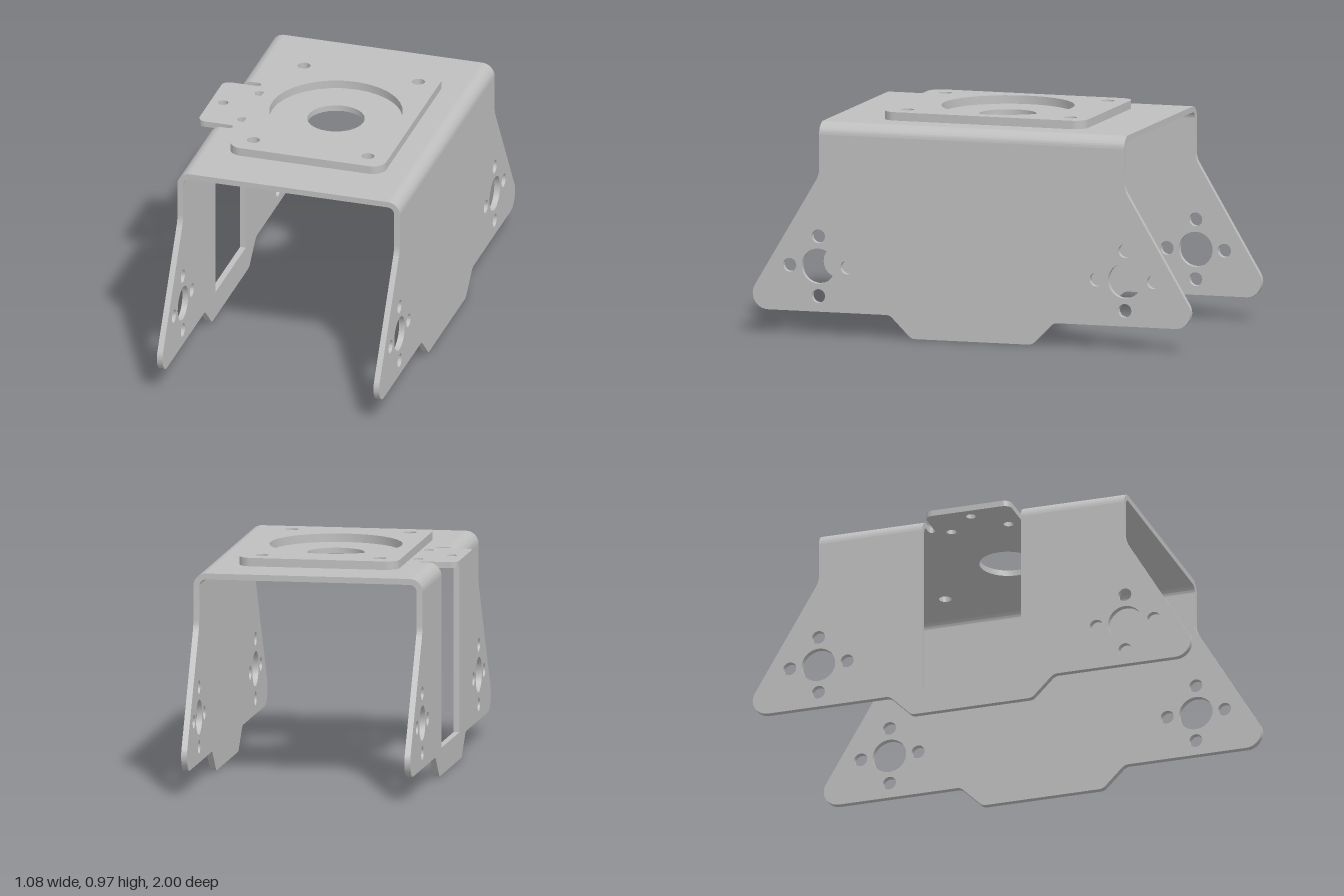
import * as THREE from 'three';
import { toCreasedNormals } from 'three/addons/utils/BufferGeometryUtils.js';

const T = 0.026;            // sheet thickness
const TOP = 0.931;          // upper face of the bent sheet
const R = 0.056;            // outer bend radius
const XL = -0.475, XR = 0.535; // outer faces of the walls
const HALF = 0.697;         // half depth of the top sheet

// Closed polygon from [x, y, cornerRadius] points, corners rounded with true arcs
function rounded(points, ShapeType = THREE.Shape) {
  const s = new ShapeType();
  const n = points.length;
  points.forEach(([x, y, r = 0], i) => {
    const p = new THREE.Vector2(x, y);
    const prev = points[(i + n - 1) % n], next = points[(i + 1) % n];
    const a = new THREE.Vector2(prev[0], prev[1]).sub(p).normalize();
    const b = new THREE.Vector2(next[0], next[1]).sub(p).normalize();
    if (!r) {
      if (i === 0) s.moveTo(x, y); else s.lineTo(x, y);
      return;
    }
    const half = Math.acos(THREE.MathUtils.clamp(a.dot(b), -1, 1)) / 2;
    const c = p.clone().addScaledVector(a.clone().add(b).normalize(), r / Math.sin(half));
    const len = r / Math.tan(half);
    const t1 = p.clone().addScaledVector(a, len), t2 = p.clone().addScaledVector(b, len);
    if (i === 0) s.moveTo(t1.x, t1.y); else s.lineTo(t1.x, t1.y);
    s.absarc(c.x, c.y, r, Math.atan2(t1.y - c.y, t1.x - c.x),
      Math.atan2(t2.y - c.y, t2.x - c.x), a.cross(b) > 0);
  });
  s.closePath();
  return s;
}

function addHole(shape, x, y, r) {
  shape.holes.push(new THREE.Path().absarc(x, y, r, 0, Math.PI * 2, true));
}

function extrude(shape, depth) {
  return new THREE.ExtrudeGeometry(shape, { depth, bevelEnabled: false, curveSegments: 16 });
}

export function createModel() {
  const group = new THREE.Group();
  const metal = new THREE.MeshStandardMaterial({ color: 0xbfbfbf });
  metal.name = 'grey metal';

  const add = (name, geometry) => {
    const mesh = new THREE.Mesh(toCreasedNormals(geometry, 0.5), metal);
    mesh.name = name;
    group.add(mesh);
  };
  // Horizontal plate drawn in x, z with its upper face at y
  const plate = (name, shape, y, depth) =>
    add(name, extrude(shape, depth).rotateX(Math.PI / 2).translate(0, y, 0));

  // Side walls, drawn in z, y
  const wallTop = TOP - R;
  const halfProfile = [
    [0.275, 0, 0.04], [0.375, 0.1, 0.04], [1.053, 0.1, 0.07], [HALF, 0.7, 0.1], [HALF, wallTop],
  ];
  const mirrored = halfProfile.map(([z, y, r]) => [-z, y, r]).reverse();
  const windowNotch = [[0.225, wallTop], [0.225, 0.12], [-0.225, 0.12], [-0.225, wallTop]];
  const wall = (name, x, notch) => {
    const shape = rounded([...halfProfile, ...notch, ...mirrored]);
    for (const z of [-0.7, 0.7]) {
      addHole(shape, z, 0.3, 0.077);
      for (const [dz, dy] of [[0.131, 0], [-0.131, 0], [0, 0.131], [0, -0.131]]) {
        addHole(shape, z + dz, 0.3 + dy, 0.03);
      }
    }
    add(name, extrude(shape, T).rotateY(-Math.PI / 2).translate(x + T, 0, 0));
  };
  wall('leftWall', XR - T, []);
  wall('rightWall', XL, windowNotch);

  // Quarter-round bends between the walls and the top sheet
  const bend = (name, cx, start, z0, z1) => {
    const s = new THREE.Shape();
    s.absarc(cx, wallTop, R, start, start + Math.PI / 2, false);
    s.absarc(cx, wallTop, R - T, start + Math.PI / 2, start, true);
    s.closePath();
    add(name, extrude(s, z1 - z0).translate(0, 0, z0));
  };
  bend('leftBend', XR - R, 0, -HALF, HALF);
  bend('rightFrontBend', XL + R, Math.PI / 2, 0.225, HALF);
  bend('rightBackBend', XL + R, Math.PI / 2, -HALF, -0.225);

  // Top sheet with relief slots and a flat tab on its right side
  const edge = [
    [XR - R, HALF], [XL + R, HALF], [XL + R, 0.225],
    [-0.375, 0.225, 0.0145], [-0.375, 0.195, 0.0145], [-0.54, 0.195, 0.035],
  ];
  const sheet = rounded([...edge, ...edge.map(([x, z, r]) => [x, -z, r]).reverse()]);
  const bolts = [[-0.23, 0.372], [0.29, 0.372], [-0.23, -0.372], [0.29, -0.372]];
  addHole(sheet, 0.03, 0, 0.125);
  bolts.forEach(([x, z]) => addHole(sheet, x, z, 0.028));
  addHole(sheet, -0.482, 0, 0.022);
  addHole(sheet, -0.356, 0.13, 0.022);
  addHole(sheet, -0.356, -0.13, 0.022);
  plate('topSheetWithTab', sheet, TOP, T);

  // Raised mounting plate with a round opening
  const raised = rounded([
    [0.383, 0.463, 0.06], [-0.322, 0.463, 0.06], [-0.322, -0.463, 0.06], [0.383, -0.463, 0.06],
  ]);
  addHole(raised, 0.03, 0, 0.29);
  bolts.forEach(([x, z]) => addHole(raised, x, z, 0.028));
  plate('mountingPlate', raised, 0.968, 0.968 - TOP);

  return group;
}
